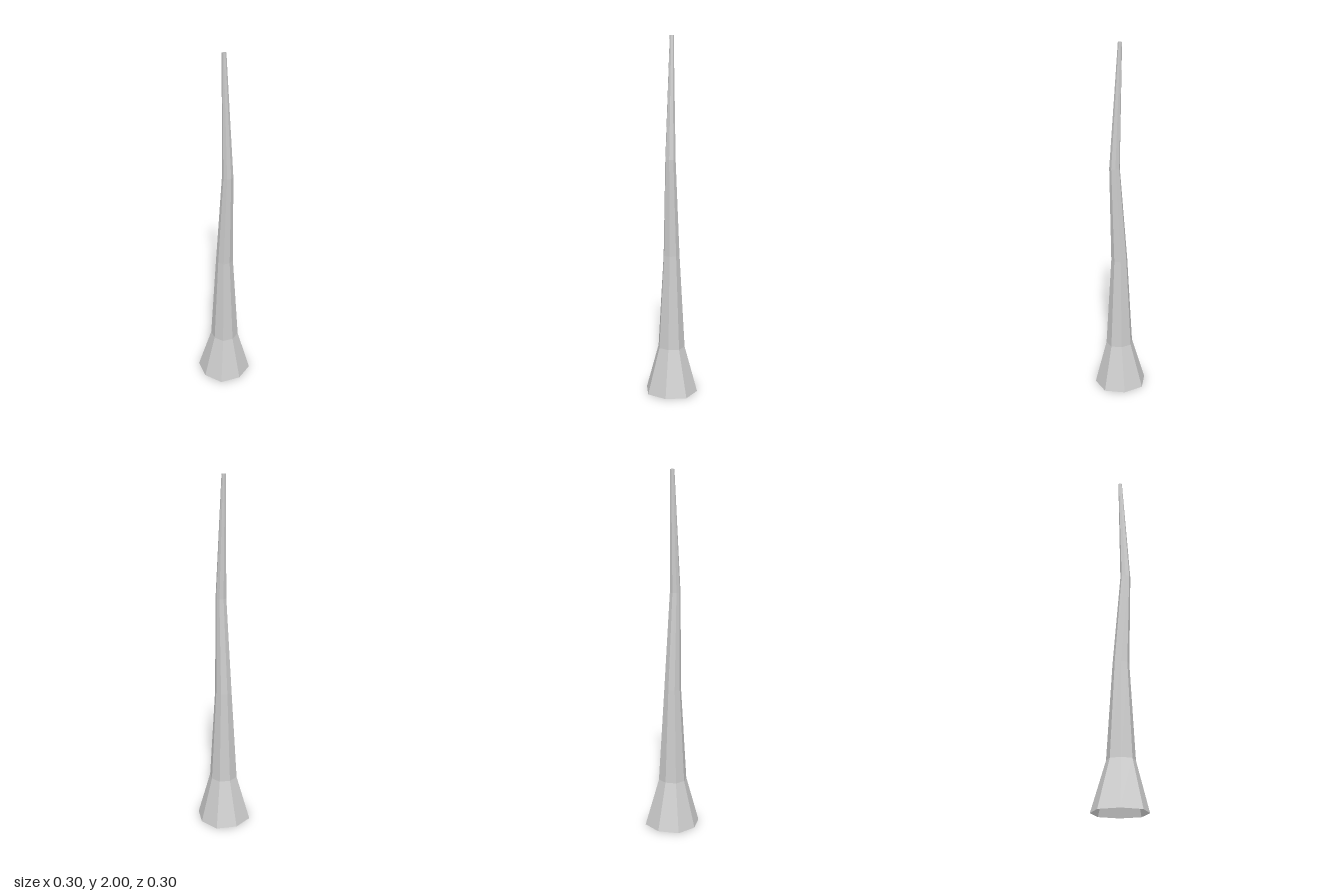
import * as THREE from 'three';

// Rings from base to tip: height, radius, forward offset
const RINGS = [
  [0, 0.15, 0],
  [0.265, 0.077, 0.005],
  [0.8, 0.046, 0.005],
  [1.34, 0.029, 0.031],
  [2, 0.011, 0.001],
];
const SIDES = 8;

export function createModel() {
  const model = new THREE.Group();
  model.name = 'taperedTrunk';

  // Open tube whose rows are moved onto the rings
  const rows = RINGS.length - 1;
  const geometry = new THREE.CylinderGeometry(1, 1, 1, SIDES, rows, true);
  const position = geometry.attributes.position;
  for (let i = 0; i < position.count; i++) {
    const row = Math.floor(i / (SIDES + 1));
    const [y, radius, z] = RINGS[rows - row];
    const side = i % (SIDES + 1);
    // Diagonal corners stand slightly further out
    const r = radius * (side % 2 ? 1.055 : 1);
    const angle = (side / SIDES) * Math.PI * 2;
    position.setXYZ(i, Math.sin(angle) * r, y, Math.cos(angle) * r + z);
  }
  geometry.computeVertexNormals();

  const trunk = new THREE.Mesh(
    geometry,
    new THREE.MeshStandardMaterial({ color: 0xcccccc, flatShading: true, side: THREE.DoubleSide })
  );
  trunk.name = 'trunk';
  model.add(trunk);
  return model;
}
